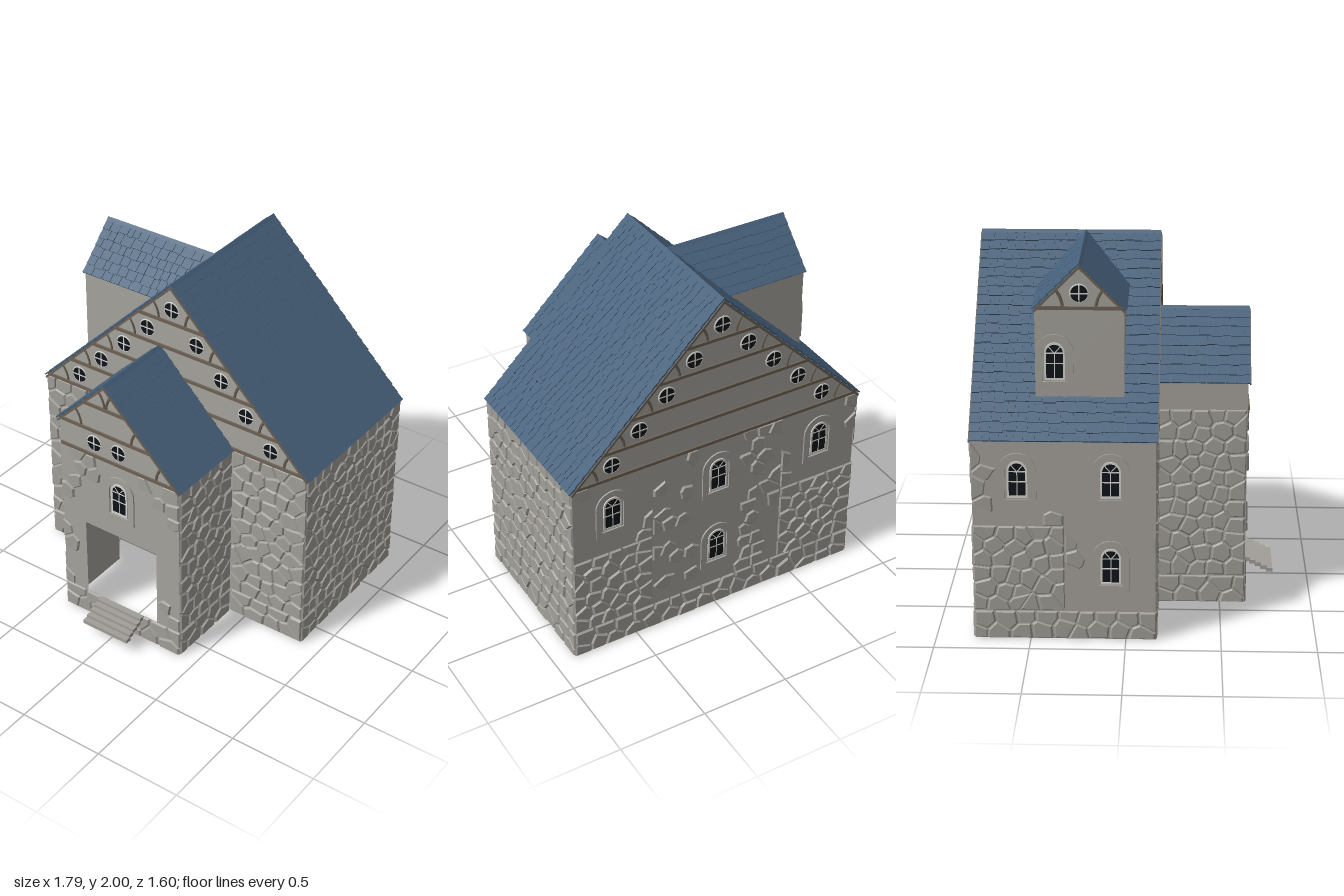
import * as THREE from 'three';
import { mergeGeometries } from 'three/addons/utils/BufferGeometryUtils.js';

const mat = (name, color, extra = {}) => {
  const m = new THREE.MeshStandardMaterial({ color, ...extra });
  m.name = name;
  return m;
};

export function createModel() {
  const M = {
    plaster: mat('plaster', 0xa7a49e, { side: THREE.DoubleSide }),
    stone: mat('stone', 0xa29f99, { flatShading: true }),
    roof: mat('roof slate', 0x46607a, { side: THREE.DoubleSide }),
    timber: mat('timber', 0x6e6255),
    frame: mat('window frame', 0xd6d5d0),
    glass: mat('dark glass', 0x0f1419),
  };
  const house = new THREE.Group();
  house.name = 'house';

  let seed = 11;
  const rnd = () => (seed = (seed * 16807) % 2147483647) / 2147483647;
  const add = (parent, name, geo, material, x = 0, y = 0, z = 0) => {
    const m = new THREE.Mesh(geo, material);
    m.name = name;
    m.position.set(x, y, z);
    parent.add(m);
    return m;
  };
  const shapeOf = pts => new THREE.Shape(pts.map(p => new THREE.Vector2(p[0], p[1])));
  const plate = (shape, depth) =>
    new THREE.ExtrudeGeometry(shape, { depth, bevelEnabled: false, curveSegments: 10 }).translate(0, 0, -depth / 2);
  const bar = (w, h, d, x, y, angle = 0) => new THREE.BoxGeometry(w, h, d).rotateZ(angle).translate(x, y, 0);

  // Wall sheet: local x runs along the wall, local z points outward
  function wall(name, pos, rotY, pts, hole) {
    const g = new THREE.Group();
    g.name = name;
    g.position.set(...pos);
    g.rotation.y = rotY;
    house.add(g);
    const s = shapeOf(pts);
    if (hole) s.holes.push(shapeOf(hole));
    add(g, name + 'Sheet', new THREE.ShapeGeometry(s), M.plaster);
    return g;
  }

  // Irregular raised stones: cells around jittered points, shrunk and bevelled
  function stones(g, x0, y0, x1, y1, size, keep = () => true) {
    const nx = Math.max(1, Math.round((x1 - x0) / size[0])), ny = Math.max(1, Math.round((y1 - y0) / size[1]));
    const dx = (x1 - x0) / nx, dy = (y1 - y0) / ny, seeds = [], out = [];
    for (let j = 0; j < ny; j++) for (let i = 0; i < nx; i++)
      seeds.push([x0 + dx * (i + 0.5 + (j % 2 ? 0.2 : -0.2) + (rnd() - 0.5) * 0.6), y0 + dy * (j + 0.5 + (rnd() - 0.5) * 0.6)]);
    for (const s of seeds) {
      if (!keep(s[0], s[1])) continue;
      let poly = [[x0, y0], [x1, y0], [x1, y1], [x0, y1]];
      for (const t of seeds) {
        const ex = t[0] - s[0], ey = t[1] - s[1];
        if (t === s || Math.hypot(ex, ey) > 0.35) continue;
        const side = p => (p[0] - (s[0] + t[0]) / 2) * ex + (p[1] - (s[1] + t[1]) / 2) * ey;
        const next = [];
        poly.forEach((a, i) => {
          const b = poly[(i + 1) % poly.length], da = side(a), db = side(b);
          if (da <= 0) next.push(a);
          if (da * db < 0) next.push([a[0] + (b[0] - a[0]) * da / (da - db), a[1] + (b[1] - a[1]) * da / (da - db)]);
        });
        poly = next;
      }
      const n = poly.length;
      const cx = poly.reduce((v, p) => v + p[0], 0) / n, cy = poly.reduce((v, p) => v + p[1], 0) / n;
      const high = 0.008 + rnd() * 0.005;
      const ring = (k, z) => poly.map(p => [cx + (p[0] - cx) * k, cy + (p[1] - cy) * k, z]);
      const a = ring(0.93, 0), b = ring(0.78, high);
      for (let i = 0; i < n; i++) {
        const j = (i + 1) % n;
        out.push(...a[i], ...a[j], ...b[j], ...a[i], ...b[j], ...b[i], ...b[i], ...b[j], cx, cy, high);
      }
    }
    if (!out.length) return;
    const geo = new THREE.BufferGeometry();
    geo.setAttribute('position', new THREE.Float32BufferAttribute(out, 3));
    geo.computeVertexNormals();
    add(g, 'stones', geo, M.stone);
  }
  const RUBBLE = [0.088, 0.085], COURSE = [0.11, 0.08];
  const base = (g, x0, x1) => stones(g, x0, 0, x1, 0.16, COURSE);
  const fullStone = (g, x0, x1, top = 1.12) => { base(g, x0, x1); stones(g, x0, 0.16, x1, top, RUBBLE); };
  // A few stones near the sides of a plastered panel, clear of its window
  const scattered = (g, x0, y0, x1, y1) => stones(g, x0, y0, x1, y1, RUBBLE, (x, y) => {
    const cx = (x0 + x1) / 2;
    return Math.abs(x - cx) > 0.15 && rnd() < 0.42;
  });

  // Arched window with raised surround
  const arch = (w, y0, y1, C = THREE.Shape) => {
    const s = new C();
    s.moveTo(-w, y0);
    s.lineTo(w, y0);
    s.lineTo(w, y1 - w);
    s.absarc(0, y1 - w, w, 0, Math.PI, false);
    s.lineTo(-w, y0);
    return s;
  };
  function archedWindow(g, x, y) {
    const w = new THREE.Group();
    w.name = 'archedWindow';
    w.position.set(x, y, 0);
    g.add(w);
    const surround = arch(0.098, -0.045, 0.24);
    surround.holes.push(arch(0.064, -0.012, 0.205, THREE.Path));
    add(w, 'surround', plate(surround, 0.018), M.plaster);
    add(w, 'pane', plate(arch(0.05, 0, 0.19), 0.008), M.glass);
    const rim = arch(0.053, -0.004, 0.196);
    rim.holes.push(arch(0.043, 0.008, 0.185, THREE.Path));
    add(w, 'rim', plate(rim, 0.014), M.frame);
    add(w, 'glazingBars', mergeGeometries([
      bar(0.09, 0.006, 0.012, 0, 0.085), bar(0.09, 0.006, 0.012, 0, 0.14), bar(0.005, 0.135, 0.012, 0, 0.075),
      bar(0.005, 0.05, 0.012, -0.017, 0.159, 0.7), bar(0.005, 0.05, 0.012, 0.017, 0.159, -0.7),
    ]), M.frame);
  }

  // Round gable window with a cross
  function roundWindow(g, x, y) {
    const w = new THREE.Group();
    w.name = 'roundWindow';
    w.position.set(x, y, 0);
    g.add(w);
    add(w, 'pane', new THREE.CylinderGeometry(0.044, 0.044, 0.009, 20).rotateX(Math.PI / 2), M.glass);
    add(w, 'rim', new THREE.TorusGeometry(0.046, 0.005, 5, 20), M.frame);
    add(w, 'cross', mergeGeometries([bar(0.088, 0.007, 0.013, 0, 0), bar(0.007, 0.088, 0.013, 0, 0)]), M.frame);
  }

  // Timber rows with curved braces where each row meets the roof slope
  function gable(g, apexX, apexY, y0, minX, windows) {
    const parts = [];
    for (let y = y0; y < apexY - 0.1; y += 0.16) {
      const half = apexY - y, xl = Math.max(apexX - half, minX), xr = apexX + half;
      parts.push(bar(xr - xl - 0.03, 0.017, 0.02, (xl + xr) / 2, y + 0.004));
      const brace = () => new THREE.TorusGeometry(0.155, 0.008, 4, 6, Math.PI / 4 - 0.06);
      if (apexX - half >= minX - 0.01) parts.push(brace().translate(xl, y, 0));
      parts.push(brace().rotateY(Math.PI).translate(xr, y, 0));
    }
    add(g, 'gableTimbers', mergeGeometries(parts), M.timber);
    windows.forEach(([x, y]) => roundWindow(g, x, y));
  }
  const mainWindows = [[0, 1.84]];
  for (let k = 1; k <= 4; k++) mainWindows.push([-0.16 * k, 1.84 - 0.16 * k], [0.16 * k, 1.84 - 0.16 * k]);

  // Main hall
  const H = 0.872, EAVE = 1.116, TOP = 1.985;
  const front = wall('frontWall', [0, 0, 0.155], 0, [[-H, 0], [-0.392, 0], [-0.392, 1.1], [0.392, 1.1], [0.392, 0],
    [H, 0], [H, EAVE], [0, TOP], [-H, EAVE]]);
  fullStone(front, -0.88, -0.4);
  fullStone(front, 0.4, 0.88);
  gable(front, 0, 2, 1.12, -1, mainWindows);

  const back = wall('backWall', [0, 0, -0.79], Math.PI, [[-H, 0], [H, 0], [H, EAVE], [0, TOP], [-H, EAVE]]);
  gable(back, 0, 2, 1.12, -1, mainWindows);
  base(back, -0.88, 0.88);
  for (const s of [-1, 1]) {
    stones(back, s * 0.64 - 0.24, 0.16, s * 0.64 + 0.24, 0.64, RUBBLE);
    scattered(back, s * 0.64 - 0.24, 0.64, s * 0.64 + 0.24, 1.12);
    archedWindow(back, s * 0.64, 0.8);
  }
  for (const y of [0.16, 0.64]) {
    scattered(back, -0.4, y, 0.4, y + 0.48);
    archedWindow(back, 0, y + 0.16);
  }

  const sidePts = [[-0.475, 0], [0.475, 0], [0.475, EAVE], [-0.475, EAVE]];
  fullStone(wall('leftWall', [H, 0, -0.3175], Math.PI / 2, sidePts), -0.48, 0.48);
  const right = wall('rightWall', [-H, 0, -0.3175], -Math.PI / 2, sidePts);
  base(right, -0.48, 0.48);
  stones(right, -0.48, 0.16, 0, 0.64, RUBBLE);
  scattered(right, 0, 0.16, 0.48, 0.64);
  scattered(right, -0.48, 0.64, 0, 1.12);
  scattered(right, 0, 0.64, 0.48, 1.12);
  [[-0.24, 0.8], [0.24, 0.8], [0.24, 0.32]].forEach(p => archedWindow(right, ...p));

  // Entrance wing with an off-centre ridge and an open doorway
  const P = 0.392;
  const porch = wall('porchFront', [0, 0, 0.635], 0, [[-P, 0], [P, 0], [P, 1.116], [-0.08, 1.588], [-P, 1.276]],
    [[-0.24, 0.16], [-0.24, 0.64], [0.24, 0.64], [0.24, 0.16]]);
  base(porch, -0.4, 0.4);
  stones(porch, -0.4, 0.16, 0.4, 1.12, RUBBLE, (x, y) =>
    y < 0.66 ? Math.abs(x) > 0.3 && rnd() < 0.6 : Math.abs(x) > 0.17 && rnd() < 0.4);
  archedWindow(porch, 0, 0.8);
  gable(porch, -0.08, 1.6, 1.12, -0.4, [[-0.16, 1.2], [0, 1.2]]);
  for (const s of [-1, 1]) {
    const t = s > 0 ? 1.116 : 1.276;
    const side = wall(s > 0 ? 'porchLeftWall' : 'porchRightWall', [s * P, 0, 0.395], s * Math.PI / 2,
      [[-0.24, 0], [0.24, 0], [0.24, t], [-0.24, t]]);
    fullStone(side, -0.24, 0.24);
  }

  // Dormer on the right slope
  const dormer = wall('dormerFront', [-0.71, 0, -0.24], -Math.PI / 2,
    [[-0.228, 1.26], [0.228, 1.26], [0.228, 1.757], [0, 1.985], [-0.228, 1.757]]);
  archedWindow(dormer, -0.128, 1.385);
  gable(dormer, 0, 2, 1.76, -1, [[0, 1.84]]);
  for (const s of [-1, 1])
    wall('dormerCheek', [0, 0, -0.24 + s * 0.228], 0, [[-0.71, 1.26], [-0.22, 1.757], [-0.71, 1.757]]);

  // Roof slope at 45 degrees: local x along the ridge, local z down the slope
  function roofSlope(name, pos, rotY, drop, range) {
    const g = new THREE.Group(), tilt = new THREE.Group(), L = drop * Math.SQRT2;
    g.name = name;
    g.position.set(...pos);
    g.rotation.y = rotY;
    tilt.rotation.x = Math.PI / 4;
    g.add(tilt);
    house.add(g);
    const [a0, a1] = range(0), [b0, b1] = range(L);
    add(tilt, 'roofDeck', new THREE.ShapeGeometry(shapeOf([[a0, 0], [a1, 0], [b1, L], [b0, L]])).rotateX(Math.PI / 2), M.roof);
    const rows = Math.round(L / 0.056), pitch = L / rows, tiles = [];
    for (let r = 0; r < rows; r++) {
      const [x0, x1] = range(r * pitch);
      for (let x = x0; x < x1 - 0.001;) {
        let w = 0.035 + rnd() * 0.04;
        if (x1 - x - w < 0.03) w = x1 - x;
        const len = pitch * (1 + (r < rows - 1 ? rnd() * 0.2 : 0));
        tiles.push(new THREE.BoxGeometry(w - 0.003, 0.006 + rnd() * 0.003, len)
          .rotateX(-0.11).translate(x + w / 2, 0.006, r * pitch + len / 2));
        x += w;
      }
    }
    add(tilt, 'shingles', mergeGeometries(tiles), M.roof);
    // Verge boards on the straight ends
    for (const [a, b] of [[a0, b0], [a1, b1]])
      if (a === b) add(tilt, 'vergeBoard', new THREE.BoxGeometry(0.008, 0.012, L), M.timber, a, -0.007, L / 2);
  }
  const ridgeCap = (x, y, z, len, alongX) => {
    const geo = new THREE.BoxGeometry(0.024, 0.024, len).rotateZ(Math.PI / 4);
    add(house, 'ridgeCap', alongX ? geo.rotateY(Math.PI / 2) : geo, M.roof, x, y - 0.005, z);
  };
  for (const s of [-1, 1]) {
    roofSlope('mainRoof', [0, 1.988, -0.3175], s * Math.PI / 2, 0.884, () => [-0.4825, 0.4825]);
    roofSlope('porchRoof', [-0.08, 1.592, 0.4], s * Math.PI / 2, s > 0 ? 0.485 : 0.325, () => [-0.245, 0.245]);
    roofSlope('dormerRoof', [0, 1.988, -0.24], s > 0 ? 0 : Math.PI, 0.235,
      v => s > 0 ? [-0.72, -v / Math.SQRT2] : [v / Math.SQRT2, 0.72]);
  }
  ridgeCap(0, 1.988, -0.3175, 0.965, false);
  ridgeCap(-0.08, 1.592, 0.4, 0.49, false);
  ridgeCap(-0.36, 1.988, -0.24, 0.72, true);

  // Entrance steps
  for (let i = 0; i < 5; i++)
    add(house, 'step', new THREE.BoxGeometry(0.296 + rnd() * 0.006, 0.022, 0.036), M.stone, 0, 0.15 - i * 0.016, 0.654 + i * 0.032);

  return house;
}
